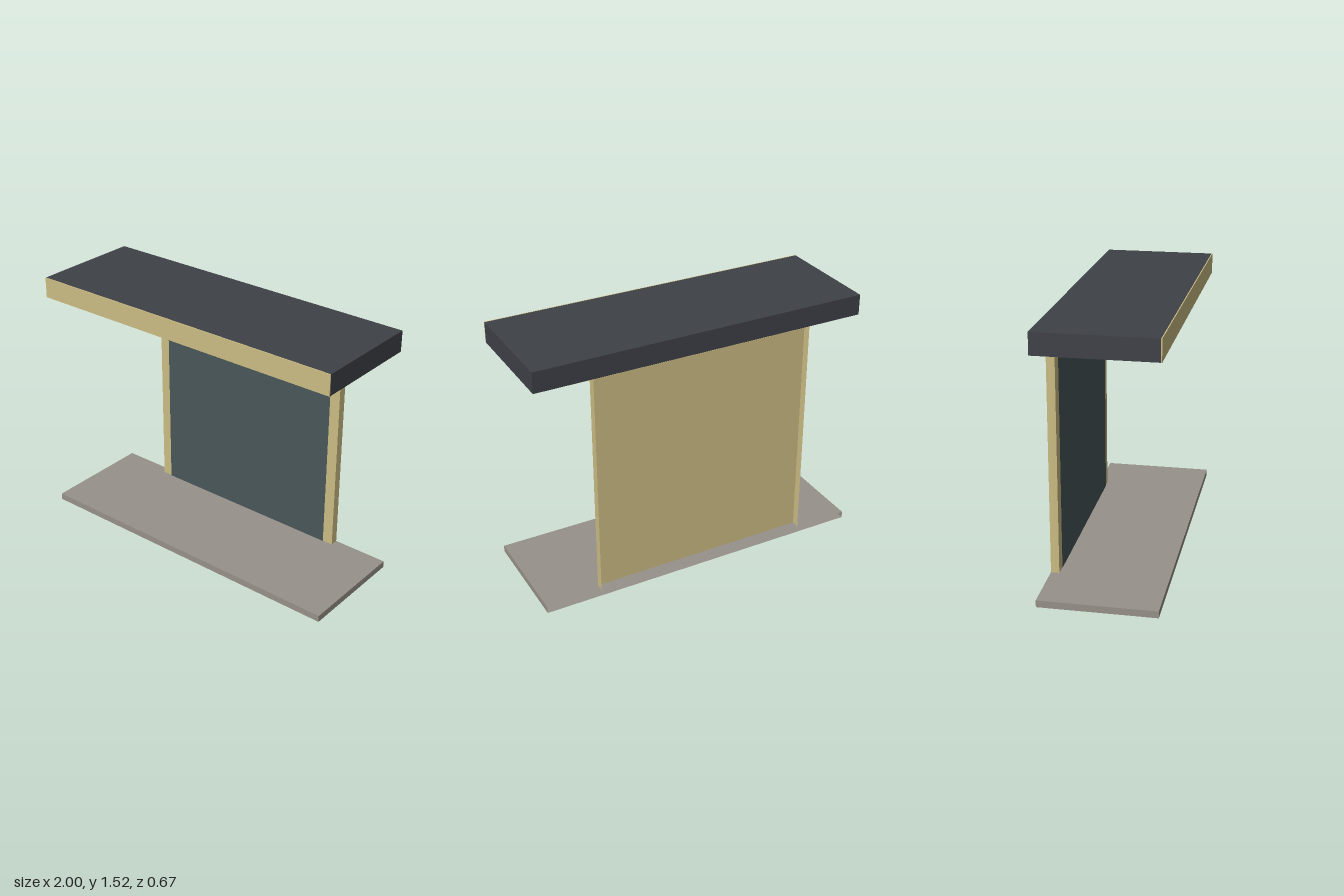
import * as THREE from 'three';

const paint = (color) => new THREE.MeshStandardMaterial({ color, side: THREE.DoubleSide });

// Box sides in the order BoxGeometry stores them
const SIDES = ['right', 'left', 'top', 'bottom', 'front', 'back'];

// Thin-walled box given by its extents, with the named sides left open
function shell(name, material, [x0, x1], [y0, y1], [z0, z1], open = []) {
  const geometry = new THREE.BoxGeometry(x1 - x0, y1 - y0, z1 - z0);
  const index = Array.from(geometry.index.array);
  geometry.setIndex(index.filter((_, i) => !open.includes(SIDES[Math.floor(i / 6)])));
  geometry.clearGroups();
  geometry.translate((x0 + x1) / 2, (y0 + y1) / 2, (z0 + z1) / 2);
  const mesh = new THREE.Mesh(geometry, material);
  mesh.name = name;
  return mesh;
}

export function createModel() {
  const group = new THREE.Group();
  group.name = 'canopiedPanel';

  const stone = paint(0x97918a);
  const gold = paint(0xcdbd84);
  const slate = paint(0x3e4147);
  const glass = paint(0x4a5759);

  // Ground slab, hollow and open at the back
  group.add(shell('baseSlab', stone, [-1, 1], [0, 0.04], [-0.335, 0.33], ['back']));

  // Shallow surround, open behind, its sides sunk a little into the slab
  group.add(shell('surround', gold, [-0.665, 0.665], [0.028, 1.399], [-0.335, -0.287], ['back', 'bottom']));

  // Dark pane lying on the face of the surround
  const pane = new THREE.Mesh(new THREE.PlaneGeometry(1.205, 1.305), glass);
  pane.name = 'pane';
  pane.position.set(0, 0.6825, -0.284);
  group.add(pane);

  // Canopy with a fascia board across its front
  group.add(shell('canopy', slate, [-1, 1], [1.4, 1.522], [-0.335, 0.33], ['front']));
  group.add(shell('fascia', gold, [-1, 1], [1.4, 1.522], [0.33, 0.336]));

  return group;
}
